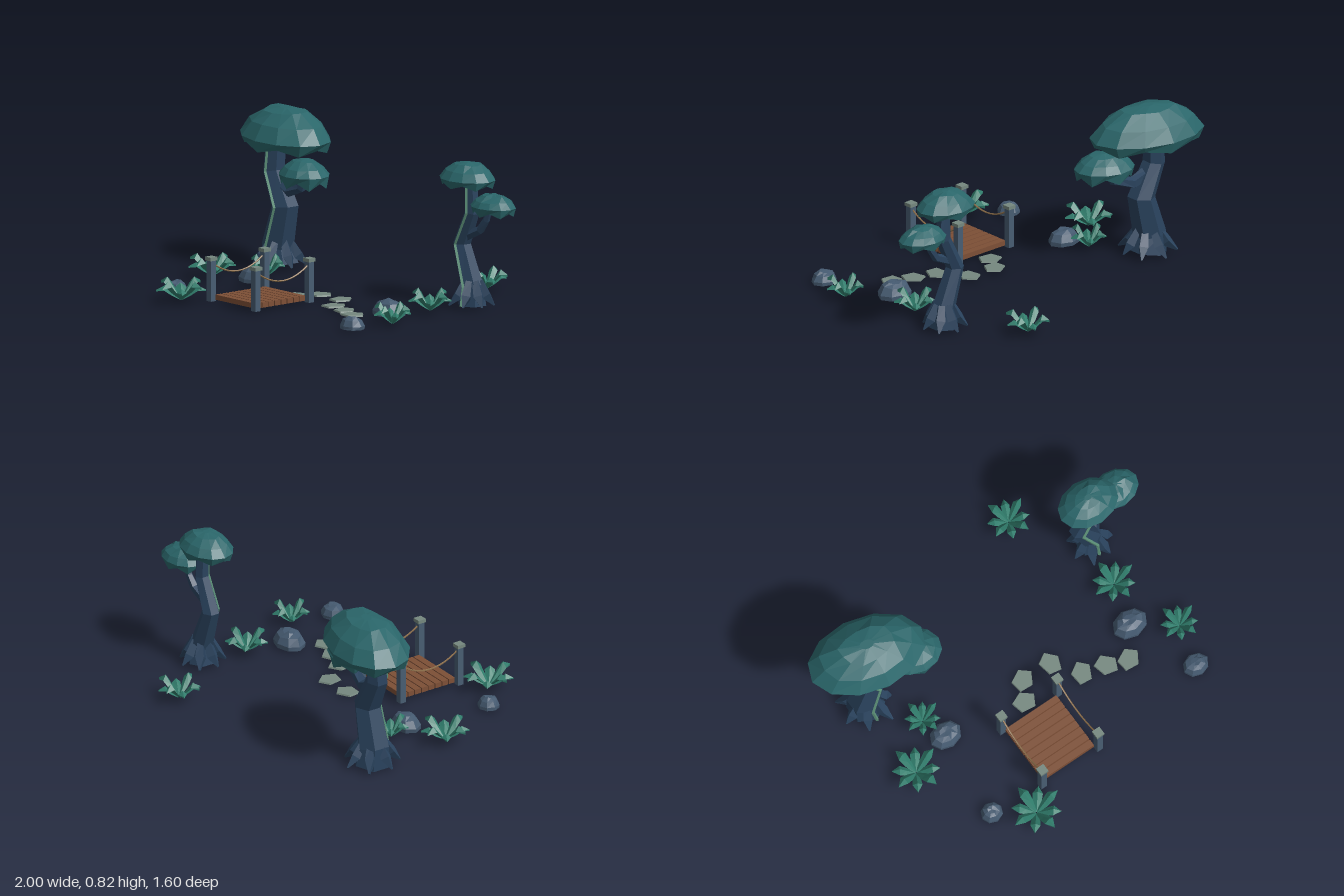
import * as THREE from 'three';

const COLORS = {
  canopy: 0x2a666a, bark: 0x2a435e, moss: 0x5f957c, rock: 0x44596f, leaf: 0x307d6c,
  plank: 0x7d4f36, post: 0x485d72, stone: 0x75887f, rope: 0x8c6e4a,
};
const material = (color, side = THREE.FrontSide) =>
  new THREE.MeshStandardMaterial({ color, flatShading: true, side });
const MATS = Object.fromEntries(Object.entries(COLORS).map(([k, c]) =>
  [k, material(c, k === 'leaf' ? THREE.DoubleSide : THREE.FrontSide)]));

// Small seeded generator for irregular facets
let seed = 7;
const rand = () => (seed = (seed * 16807) % 2147483647) / 2147483647;
const V = (x, y, z) => new THREE.Vector3(x, y, z);

function mesh(parent, name, geometry, mat, x = 0, y = 0, z = 0) {
  const m = new THREE.Mesh(geometry, mat);
  m.name = name;
  m.position.set(x, y, z);
  parent.add(m);
  return m;
}

// Skins a row of rings; closed rings are also capped at both ends
function loft(rings, closed = true) {
  const pos = [];
  const tri = (...pts) => pts.forEach((p) => pos.push(p.x, p.y, p.z));
  const n = rings[0].length;
  for (let i = 0; i + 1 < rings.length; i++) {
    for (let k = 0; k < (closed ? n : n - 1); k++) {
      const l = (k + 1) % n;
      tri(rings[i][k], rings[i][l], rings[i + 1][l]);
      tri(rings[i][k], rings[i + 1][l], rings[i + 1][k]);
    }
  }
  if (closed) {
    const cap = (ring, flip) => {
      const c = ring.reduce((s, p) => s.add(p), V(0, 0, 0)).divideScalar(n);
      ring.forEach((p, k) => {
        const q = ring[(k + 1) % n];
        flip ? tri(c, q, p) : tri(c, p, q);
      });
    };
    cap(rings[0], true);
    cap(rings[rings.length - 1], false);
  }
  const g = new THREE.BufferGeometry();
  g.setAttribute('position', new THREE.Float32BufferAttribute(pos, 3));
  g.computeVertexNormals();
  return g;
}

// Faceted limb through [x, y, z, radius] points
function limb(points, sides = 6) {
  const c = points.map((p) => V(p[0], p[1], p[2]));
  return loft(c.map((p, i) => {
    const t = c[Math.min(i + 1, c.length - 1)].clone().sub(c[Math.max(i - 1, 0)]).normalize();
    const u = V(0, 0, 1).addScaledVector(t, -t.z).normalize();
    const v = t.clone().cross(u);
    return Array.from({ length: sides }, (_, k) => {
      const a = (k / sides) * Math.PI * 2;
      return p.clone().addScaledVector(u, Math.cos(a) * points[i][3])
        .addScaledVector(v, Math.sin(a) * points[i][3]);
    });
  }));
}

// Rounded lump from [radius, height, alternating drop, jitter] levels
function lump(levels, n, rx, rz, skew = 0) {
  return loft(levels.map(([r, y, drop = 0, jitter = 0]) =>
    Array.from({ length: n }, (_, k) => {
      const a = (k / n) * Math.PI * 2;
      const f = r * (1 - jitter * rand());
      const x = Math.cos(a) * f * rx;
      return V(x, y - (k % 2) * drop - jitter * rand() * 0.08, -Math.sin(a) * f * rz + skew * x);
    })));
}

// Umbrella canopy with a ragged hem and hollow underside
function canopy(parent, x, z, rx, rz, hem, top, low, skew = 0) {
  const h = top - hem, d = hem - low;
  mesh(parent, 'canopy', lump([
    [0.3, hem + h * 0.4], [0.72, hem + h * 0.05, 0, 0.1], [0.93, hem - d * 0.35, d * 0.65, 0.05],
    [1, hem + h * 0.08], [0.83, hem + h * 0.56, 0, 0.08], [0.5, hem + h * 0.95, 0, 0.15],
    [0.12, top],
  ], 12, rx, rz, skew), MATS.canopy, x, 0, z);
}

// Trunk with roots, a moss strip down the front ridge and a side branch
function tree(parent, name, trunk, branch, rootLength, canopies) {
  const g = new THREE.Group();
  g.name = name;
  parent.add(g);
  mesh(g, 'trunk', limb(trunk), MATS.bark);
  mesh(g, 'branch', limb(branch, 5), MATS.bark);
  mesh(g, 'mossStrip', limb(trunk.map(([x, y, z, r]) => [x, y, z + r, 0.009]), 4), MATS.moss);
  const [bx, , bz, br] = trunk[0];
  for (let i = 0; i < 7; i++) {
    const a = (i / 7) * Math.PI * 2 + 0.25;
    const at = (r, y, w) => [bx + Math.cos(a) * r, y, bz + Math.sin(a) * r, w];
    const len = rootLength * (0.85 + 0.15 * rand());
    mesh(g, 'root', limb([at(br * 0.5, 0.13, 0.022), at(br * 0.95, 0.055, 0.032),
      at(len, 0.007, 0.005)], 4), MATS.bark);
  }
  canopies.forEach((c) => canopy(g, ...c));
}

// Rosette of eight folded leaves
function fern(parent, x, z, r, turn) {
  const g = new THREE.Group();
  g.name = 'fern';
  g.position.set(x, 0, z);
  parent.add(g);
  const count = 8;
  for (let i = 0; i < count; i++) {
    const lift = i % 2 ? 0.65 : 1;
    const reach = r * (i % 2 ? 0.9 : 1);
    const ribs = [[0.02, 0.005, 0.04], [0.4, 0.055, 0.16], [0.68, 0.098, 0.19], [1, 0.085, 0.004]];
    const leaf = mesh(g, 'leaf', loft(ribs.map(([s, y, w]) => [
      V(s * reach, y * lift * 0.85, w * r), V(s * reach, y * lift + w * 0.06, 0),
      V(s * reach, y * lift * 0.85, -w * r)]), false), MATS.leaf);
    leaf.rotation.y = turn + (i / count) * Math.PI * 2;
  }
}

export function createModel() {
  const model = new THREE.Group();
  model.name = 'gardenScene';

  // Trees
  tree(model, 'largeTree',
    [[-0.71, 0.005, -0.31, 0.1], [-0.725, 0.1, -0.31, 0.085], [-0.67, 0.31, -0.31, 0.072],
      [-0.755, 0.48, -0.31, 0.058], [-0.745, 0.7, -0.32, 0.052]],
    [[-0.73, 0.44, -0.31, 0.035], [-0.62, 0.395, -0.3, 0.032], [-0.51, 0.43, -0.28, 0.026],
      [-0.47, 0.54, -0.27, 0.018]], 0.16,
    [[-0.69, -0.33, 0.31, 0.205, 0.65, 0.812, 0.605, 0.12],
      [-0.465, -0.26, 0.155, 0.128, 0.505, 0.59, 0.45, 0.12]]);
  tree(model, 'smallTree',
    [[0.715, 0.005, -0.36, 0.075], [0.715, 0.1, -0.36, 0.06], [0.637, 0.31, -0.36, 0.047],
      [0.715, 0.48, -0.36, 0.038], [0.71, 0.67, -0.355, 0.032]],
    [[0.66, 0.345, -0.36, 0.025], [0.77, 0.395, -0.365, 0.023], [0.81, 0.45, -0.37, 0.019],
      [0.85, 0.55, -0.37, 0.013]], 0.13,
    [[0.69, -0.35, 0.165, 0.125, 0.645, 0.737, 0.61],
      [0.865, -0.37, 0.135, 0.1, 0.525, 0.595, 0.487]]);

  // Ferns
  [[0.44, -0.69, 0.12, 0.4], [0.68, -0.11, 0.12, 0.1], [0.82, 0.26, 0.105, 0.3],
    [-0.53, -0.07, 0.1, 0.2], [-0.715, 0.135, 0.135, 0.25], [-0.345, 0.66, 0.14, 0.1],
  ].forEach((f) => fern(model, ...f));

  // Rocks
  [[-0.48, 0.06, 0.09, 0.07, 0.078], [0.62, 0.11, 0.098, 0.075, 0.082],
    [0.765, 0.48, 0.072, 0.06, 0.065], [-0.53, 0.53, 0.06, 0.056, 0.062],
  ].forEach(([x, z, rx, rz, h]) => mesh(model, 'rock', lump([
    [0.96, 0], [1, h * 0.3, 0, 0.07], [0.78, h * 0.8, 0, 0.12], [0.42, h, 0, 0.15],
  ], 8, rx, rz), MATS.rock, x, 0, z));

  // Stepping stones
  [[0.01, 0.04], [0.175, 0.047], [-0.05, 0.14], [0.275, 0.18], [0.4, 0.217], [0.51, 0.257],
  ].forEach(([x, z], i) => {
    const s = mesh(model, 'steppingStone', new THREE.CylinderGeometry(0.062, 0.066, 0.008, 5),
      MATS.stone, x, 0.004, z);
    s.scale.z = 0.85;
    s.rotation.y = 0.5 + i * 1.25;
  });

  // Footbridge
  const bridge = new THREE.Group();
  bridge.name = 'footbridge';
  model.add(bridge);
  for (let i = 0; i < 8; i++) {
    mesh(bridge, 'plank', new THREE.BoxGeometry(0.315, 0.026, 0.036), MATS.plank,
      -0.063, 0.02, 0.23 + i * 0.0418);
  }
  for (const x of [-0.235, 0.11]) {
    for (const z of [0.2, 0.555]) {
      mesh(bridge, 'post', new THREE.BoxGeometry(0.034, 0.21, 0.034), MATS.post, x, 0.105, z);
      mesh(bridge, 'postCap', new THREE.BoxGeometry(0.045, 0.018, 0.045), MATS.stone, x, 0.218, z);
    }
    const curve = new THREE.QuadraticBezierCurve3(V(x, 0.195, 0.205), V(x, 0.07, 0.377), V(x, 0.195, 0.55));
    mesh(bridge, 'rope', new THREE.TubeGeometry(curve, 12, 0.0045, 5), MATS.rope);
  }
  return model;
}
